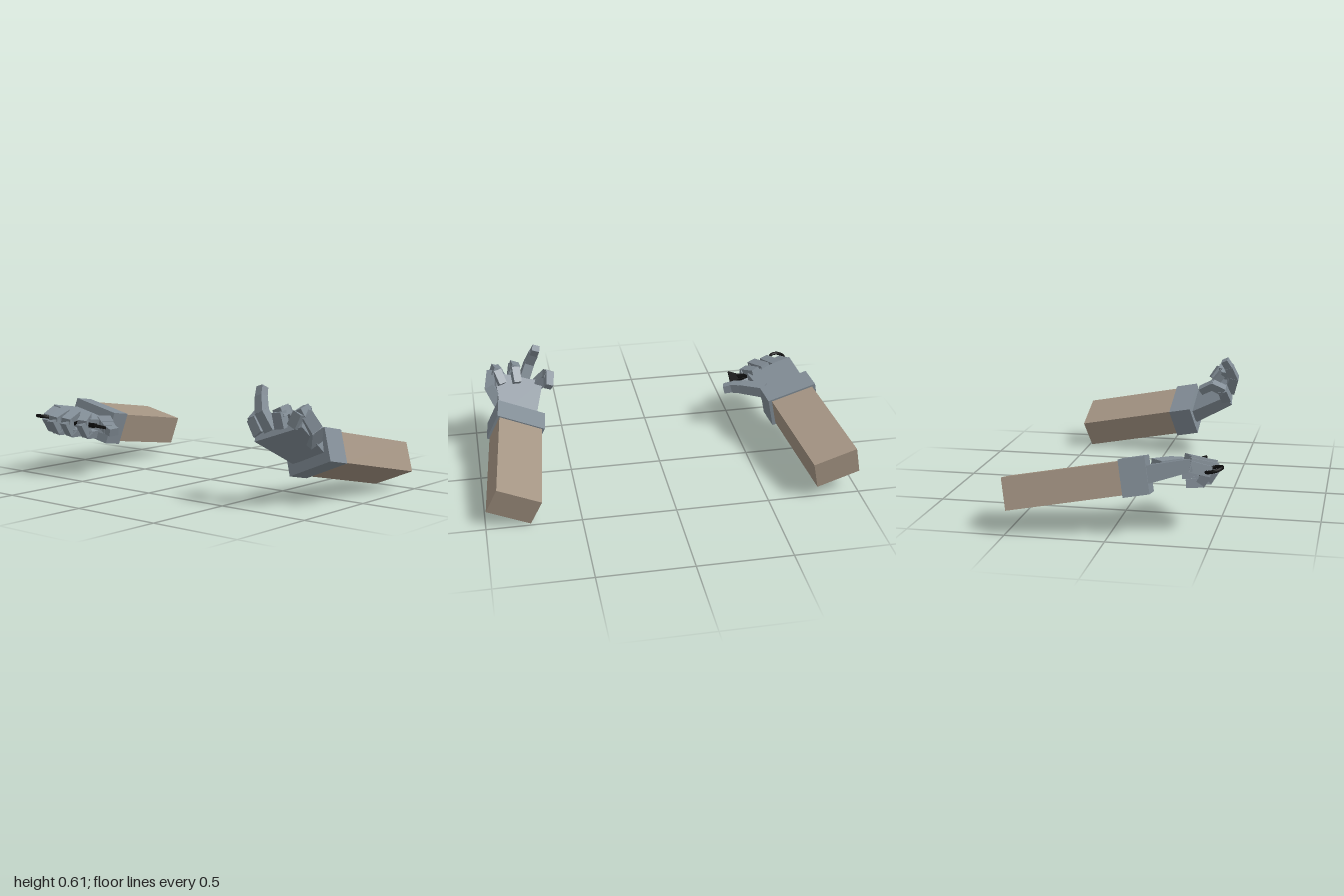
import * as THREE from 'three';

const V = (p) => new THREE.Vector3(...p);
const sleeve = new THREE.MeshStandardMaterial({ color: 0xa39382 });
sleeve.name = 'tan sleeve';
const glove = new THREE.MeshStandardMaterial({ color: 0x818c95 });
glove.name = 'grey glove';
const black = new THREE.MeshStandardMaterial({ color: 0x0c0c0c });
black.name = 'black metal';

// Tapered box from a to b; side gives the direction of its width
function bar(name, mat, a, b, side, [w1, h1], [w2, h2] = [w1, h1]) {
  const z = b.clone().sub(a);
  const len = z.length();
  z.normalize();
  const x = side.clone().addScaledVector(z, -side.dot(z)).normalize();
  const y = z.clone().cross(x);
  const geo = new THREE.BoxGeometry(1, 1, 1);
  const p = geo.attributes.position;
  for (let i = 0; i < p.count; i++) {
    const far = p.getZ(i) > 0;
    p.setXYZ(i, p.getX(i) * (far ? w2 : w1), p.getY(i) * (far ? h2 : h1), far ? len : 0);
  }
  geo.applyMatrix4(new THREE.Matrix4().makeBasis(x, y, z).setPosition(a));
  geo.computeVertexNormals();
  const mesh = new THREE.Mesh(geo, mat);
  mesh.name = name;
  return mesh;
}

// Chain of boxes through the joints, narrowing to the tip
function finger(name, joints, side, w, h) {
  const g = new THREE.Group();
  g.name = name;
  for (let i = 0; i < joints.length - 1; i++) {
    const a = V(joints[i]), b = V(joints[i + 1]);
    const d = b.clone().sub(a).normalize().multiplyScalar(0.008);
    const k = 1 - 0.1 * i;
    g.add(bar(name + 'Segment', glove, a.sub(d), b.add(d), side, [w * k, h * k], [w * k * 0.93, h * k * 0.93]));
  }
  return g;
}

function arm(name, spec) {
  const g = new THREE.Group();
  g.name = name;
  const back = V(spec.back), dir = V(spec.dir).normalize(), side = V(spec.side).normalize();
  const at = (t) => back.clone().addScaledVector(dir, t);
  g.add(bar('forearm', sleeve, back, at(spec.cuff + 0.02), side, [0.246, 0.163]));
  g.add(bar('cuff', glove, at(spec.cuff), at(spec.cuff + 0.13), side, spec.cuffSize));
  g.add(bar('palm', glove, at(spec.cuff + 0.11), V(spec.knuckles), side, spec.palm[0], spec.palm[1]));
  for (const [n, joints] of Object.entries(spec.fingers)) g.add(finger(n, joints, side, 0.056, 0.056));
  g.add(finger('thumb', spec.thumb, V(spec.thumbSide), 0.075, 0.058));
  return g;
}

export function createModel() {
  const model = new THREE.Group();
  model.name = 'pairOfArms';

  // Left arm: palm up, fingers curled, one raised
  model.add(arm('leftArm', {
    back: [0.85, 0.13, -0.5025], dir: [-0.1045, 0.2, 0.974], side: [0.923, 0.386, 0],
    cuff: 0.565, cuffSize: [0.272, 0.178],
    knuckles: [0.75, 0.405, 0.375], palm: [[0.2, 0.08], [0.285, 0.065]],
    fingers: {
      indexFinger: [[0.845, 0.43, 0.37], [0.87, 0.485, 0.365], [0.86, 0.5, 0.3], [0.84, 0.45, 0.265]],
      middleFinger: [[0.775, 0.42, 0.38], [0.765, 0.485, 0.39], [0.76, 0.495, 0.33], [0.755, 0.44, 0.285]],
      raisedFinger: [[0.71, 0.405, 0.385], [0.675, 0.485, 0.41], [0.65, 0.55, 0.385], [0.637, 0.593, 0.36]],
      littleFinger: [[0.635, 0.37, 0.37], [0.585, 0.43, 0.355], [0.575, 0.46, 0.295], [0.585, 0.425, 0.23]],
    },
    thumb: [[0.86, 0.34, 0.24], [0.9, 0.41, 0.29], [0.885, 0.48, 0.34]],
    thumbSide: [0.3, 0.5, -0.8],
  }));

  // Right arm: palm down, fingers wrapped round a handle
  const fingers = {};
  const rows = [
    ['littleFinger', -0.825, -0.8, 0.355, 0.385, 0.47],
    ['ringFinger', -0.765, -0.73, 0.352, 0.38, 0.495],
    ['middleFinger', -0.695, -0.65, 0.345, 0.365, 0.475],
    ['indexFinger', -0.63, -0.585, 0.335, 0.34, 0.415],
  ];
  for (const [n, x0, x1, y, z0, z1] of rows) {
    fingers[n] = [[x0, y, z0], [x1, y - 0.025, z1], [x1, y - 0.085, z1 - 0.035], [x1 - 0.01, y - 0.09, z1 - 0.1]];
  }
  const right = arm('rightArm', {
    back: [-0.8635, 0.1825, -0.5175], dir: [0.144, 0.15, 0.977], side: [0.965, -0.239, -0.105],
    cuff: 0.575, cuffSize: [0.285, 0.185],
    knuckles: [-0.72, 0.335, 0.375], palm: [[0.245, 0.09], [0.27, 0.06]],
    fingers,
    thumb: [[-0.64, 0.3, 0.19], [-0.54, 0.29, 0.265], [-0.49, 0.28, 0.298], [-0.445, 0.268, 0.31]],
    thumbSide: [0.55, 0, -0.8],
  });
  model.add(right);

  // Ring-ended knife: handle through the fist, ring and short wide blade
  const knife = new THREE.Group();
  knife.name = 'ringKnife';
  knife.add(bar('handle', black, V([-0.79, 0.315, 0.44]), V([-0.53, 0.3, 0.365]), V([0, 0, 1]), [0.035, 0.02]));
  const ring = new THREE.Mesh(new THREE.TorusGeometry(0.043, 0.009, 8, 24).rotateX(Math.PI / 2 - 0.26), black);
  ring.name = 'ring';
  ring.position.set(-0.802, 0.34, 0.494);
  const outline = [[-0.05, -0.015], [-0.01, -0.025], [0.04, -0.045], [0.036, 0.05], [-0.01, 0.025], [-0.05, 0.02]];
  const shape = new THREE.Shape(outline.map(([x, y]) => new THREE.Vector2(x, y)));
  const blade = new THREE.Mesh(
    new THREE.ExtrudeGeometry(shape, { depth: 0.014, bevelEnabled: false }).rotateX(Math.PI / 2 - 0.3), black);
  blade.name = 'blade';
  blade.position.set(-0.52, 0.307, 0.368);
  knife.add(ring, blade);
  right.add(knife);

  return model;
}
